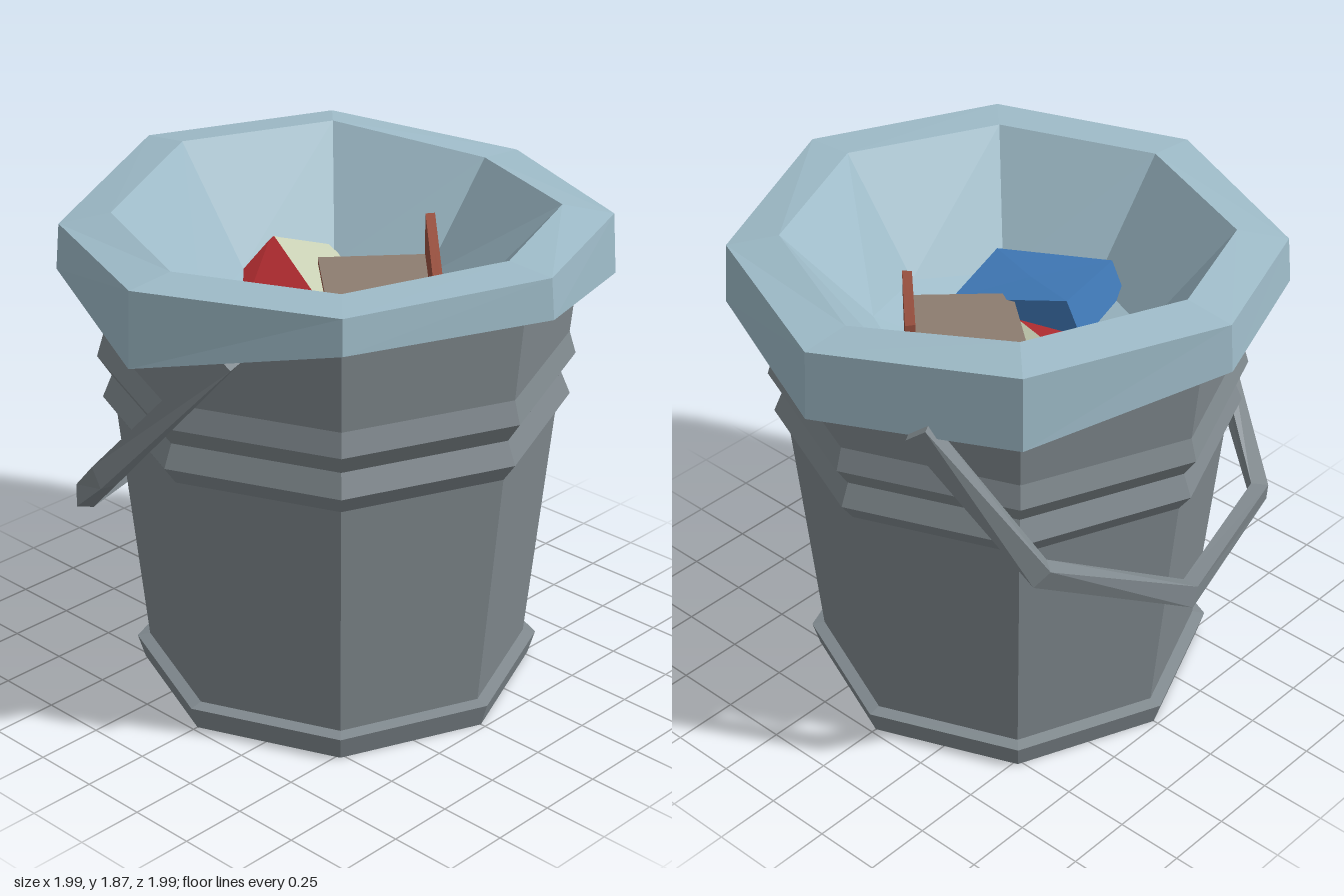
import * as THREE from 'three';

const mat = (name, color, side = THREE.FrontSide) => {
  const m = new THREE.MeshStandardMaterial({ color, side });
  m.name = name;
  return m;
};

const V = (x, y, z) => new THREE.Vector3(x, y, z);

// Flat-shaded skin over a list of equal-length closed rings
function loft(rings) {
  const n = rings[0].length, pos = [];
  const tri = (a, b, c) => {
    if (a.distanceTo(b) < 1e-6 || b.distanceTo(c) < 1e-6 || a.distanceTo(c) < 1e-6) return;
    for (const p of [a, b, c]) pos.push(p.x, p.y, p.z);
  };
  for (let i = 0; i + 1 < rings.length; i++) {
    for (let k = 0; k < n; k++) {
      const j = (k + 1) % n;
      tri(rings[i][k], rings[i][j], rings[i + 1][j]);
      tri(rings[i][k], rings[i + 1][j], rings[i + 1][k]);
    }
  }
  const g = new THREE.BufferGeometry();
  g.setAttribute('position', new THREE.Float32BufferAttribute(pos, 3));
  g.computeVertexNormals();
  return g;
}

// Collapsed ring used as an end cap
function cap(ring) {
  const c = V(0, 0, 0);
  ring.forEach(p => c.add(p));
  c.divideScalar(ring.length);
  return ring.map(() => c);
}

const capped = rings => loft([cap(rings[0]), ...rings, cap(rings[rings.length - 1])]);

// Eight-sided ring, first corner at +z, then round towards +x
function octagon(r, y) {
  return Array.from({ length: 8 }, (_, k) => {
    const a = k * Math.PI / 4;
    return V(r * Math.sin(a), Array.isArray(y) ? y[k] : y, r * Math.cos(a));
  });
}

// Skewed block from its top corners and an offset to its bottom
function block(top, offset) {
  return capped([top.map(p => p.clone().add(offset)), top]);
}

// Single flat polygon
function face(points) {
  const pos = [];
  for (let i = 1; i + 1 < points.length; i++) {
    for (const p of [points[0], points[i], points[i + 1]]) pos.push(p.x, p.y, p.z);
  }
  const g = new THREE.BufferGeometry();
  g.setAttribute('position', new THREE.Float32BufferAttribute(pos, 3));
  g.computeVertexNormals();
  return g;
}

export function createModel() {
  const model = new THREE.Group();
  model.name = 'rubbishBin';
  const metal = mat('grey metal', 0x80898e);
  const liner = mat('pale blue liner', 0x9ebbc8, THREE.DoubleSide);
  const blue = mat('blue card', 0x437fc0);
  const red = mat('red wrapper', 0xb02c30, THREE.DoubleSide);
  const cream = mat('cream wrapper', 0xc9d1b5, THREE.DoubleSide);
  const ochre = mat('ochre wrapper', 0xa8741f, THREE.DoubleSide);
  const orange = mat('orange spot', 0xdb9a35, THREE.DoubleSide);
  const taupe = mat('taupe cover', 0x8d7d70);
  const brick = mat('red brown board', 0x98503f);

  const add = (name, geometry, material, parent = model) => {
    const m = new THREE.Mesh(geometry, material);
    m.name = name;
    parent.add(m);
    return m;
  };

  // Ribbed octagonal bucket with a foot ring
  const profile = [
    [0, 0], [0.73, 0], [0.757, 0.09], [0.71, 0.1], [0.80, 1.02], [0.85, 1.09],
    [0.815, 1.175], [0.865, 1.25], [0.84, 1.335], [0.87, 1.64], [0.87, 1.7],
  ];
  add('bucketBody', loft(profile.map(([r, y]) => octagon(r, y))), metal);

  // Folded liner: underside, skirt, rim, inner wall and sagging floor
  const under = [1.475, 1.62, 1.625, 1.44, 1.45, 1.50, 1.635, 1.555];
  const skirt = [1.51, 1.675, 1.675, 1.56, 1.53, 1.58, 1.675, 1.59];
  const rim = [1.785, 1.80, 1.82, 1.785, 1.785, 1.85, 1.85, 1.76];
  const lip = [1.80, 1.81, 1.83, 1.82, 1.80, 1.87, 1.87, 1.80];
  const sag = [1.40, 1.36, 1.42, 1.48, 1.42, 1.42, 1.45, 1.40];
  add('binLiner', loft([
    octagon(0.855, under), octagon(0.995, skirt), octagon(0.98, rim),
    octagon(0.795, lip), octagon(0.48, sag), octagon(0, 1.25),
  ]), liner);

  // Bail handle hanging on one side
  const path = [
    V(0.30, 1.59, 0.83), V(-0.20, 1.03, 0.95), V(-0.67, 0.68, 0.65),
    V(-0.86, 0.675, 0), V(-0.69, 1.02, -0.60), V(-0.37, 1.58, -0.84),
  ];
  const bar = path.map((p, i) => {
    const t = path[Math.min(i + 1, 5)].clone().sub(path[Math.max(i - 1, 0)]).normalize();
    const n = V(p.x, 0, p.z).normalize();
    n.addScaledVector(t, -n.dot(t)).normalize();
    const b = t.clone().cross(n);
    return [[1, 1], [-1, 1], [-1, -1], [1, -1]].map(([u, v]) =>
      p.clone().addScaledVector(n, u * 0.032).addScaledVector(b, v * 0.042));
  });
  add('handle', capped(bar), metal);

  // Blue carton
  add('blueCarton', block([
    V(-0.14, 1.52, 0.15), V(-0.12, 1.56, 0.42), V(0.37, 1.45, 0.34), V(0.34, 1.37, 0.06),
  ], V(-0.04, -0.28, 0.09)), blue);

  // Book: block, flat cover and raised board
  const book = new THREE.Group();
  book.name = 'book';
  model.add(book);
  const page = [V(0, 1.50, -0.47), V(-0.28, 1.49, -0.19), V(0.13, 1.43, 0.16), V(0.37, 1.45, -0.12)];
  add('bookBlock', block(page, V(-0.02, -0.15, -0.03)), brick, book);
  add('bookCover', block(page.map(p => p.clone().add(V(0, 0.006, 0))), V(0, -0.005, 0)), taupe, book);
  add('bookBoard', block([
    V(0.01, 1.66, -0.51), V(-0.01, 1.66, -0.48), V(0.36, 1.56, -0.12), V(0.39, 1.56, -0.14),
  ], V(0, -0.26, 0)), brick, book);

  // Crumpled packet with coloured sides
  const packet = new THREE.Group();
  packet.name = 'packet';
  model.add(packet);
  const a = V(-0.50, 1.54, -0.17), b = V(0, 1.43, 0.05), c = V(-0.13, 1.40, -0.26);
  const d = V(-0.32, 1.46, -0.34), e = V(-0.41, 1.49, -0.35), f = V(-0.58, 1.43, 0);
  const g = V(-0.27, 1.36, 0.23), h = V(-0.36, 1.2, 0.34), k = V(-0.10, 1.15, 0.16);
  add('packetTop', face([a, b, c, d, e]), cream, packet);
  add('packetFront', face([a, f, g, b]), red, packet);
  add('packetLowerSide', face([f, h, g]), ochre, packet);
  add('packetEnd', face([g, h, k, b]), red, packet);
  add('packetBack', face([f, a, e, V(-0.42, 1.25, -0.25)]), red, packet);
  add('packetSpot', face([
    V(-0.30, 1.393, 0.13), V(-0.32, 1.378, 0.19), V(-0.27, 1.368, 0.225), V(-0.21, 1.388, 0.17),
  ].map(p => p.add(V(0, 0.012, 0)))), orange, packet);

  return model;
}
